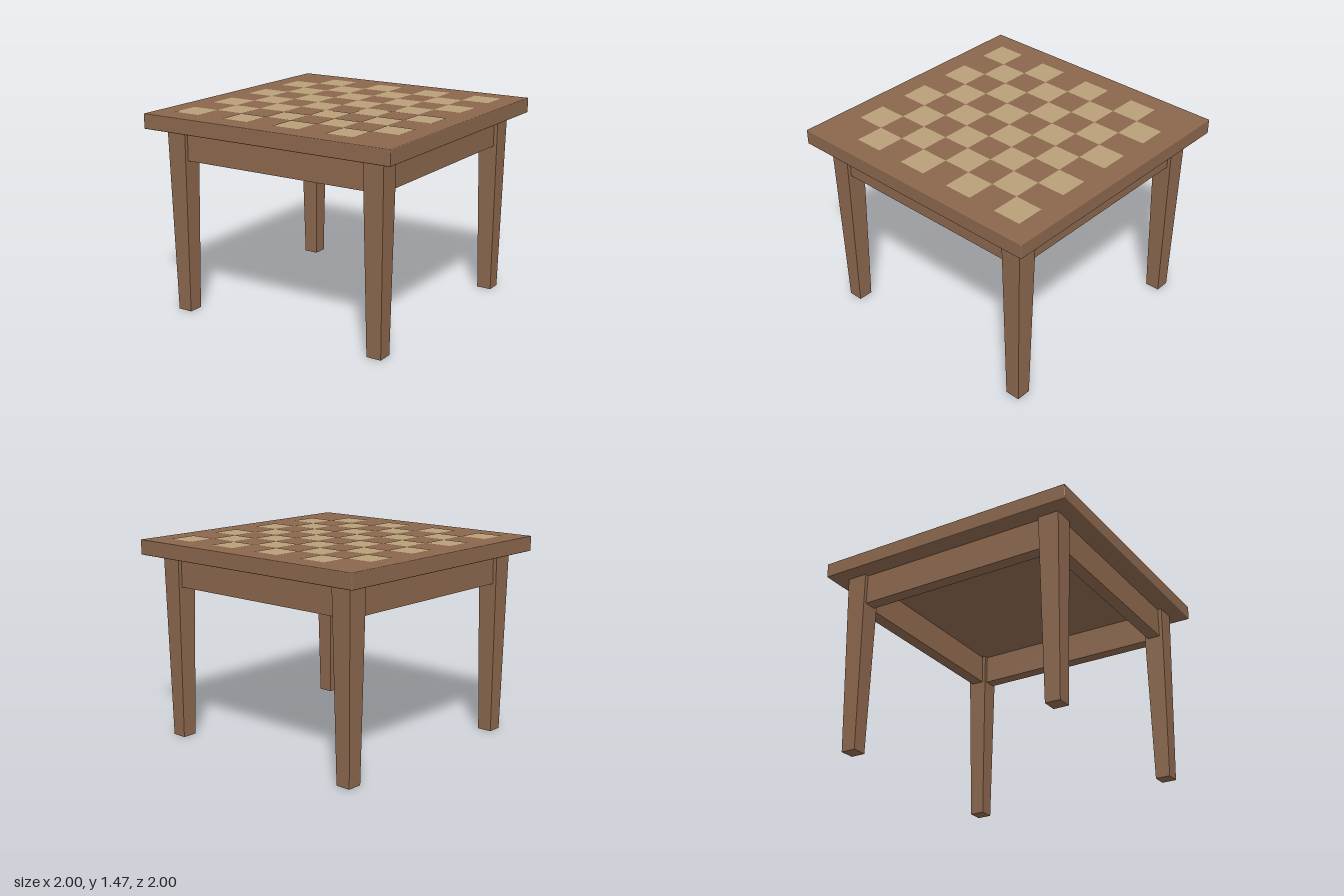
import * as THREE from 'three';
import { RoundedBoxGeometry } from 'three/addons/geometries/RoundedBoxGeometry.js';

const darkWood = new THREE.MeshStandardMaterial({ color: 0x8b674d });
darkWood.name = 'darkWood';
const lightWood = new THREE.MeshStandardMaterial({ color: 0xb99f79 });
lightWood.name = 'lightWood';

const TOP = 1.465, UNDER = 1.355, LEG_AT = 0.808;

function addMesh(parent, name, geometry, material, x, y, z) {
  const mesh = new THREE.Mesh(geometry, material);
  mesh.name = name;
  mesh.position.set(x, y, z);
  parent.add(mesh);
  return mesh;
}

// Square leg standing on y = 0, narrowing towards the floor
function taperedLeg(height, topWidth, bottomWidth) {
  const geometry = new THREE.BoxGeometry(topWidth, height, topWidth);
  geometry.translate(0, height / 2, 0);
  const p = geometry.attributes.position;
  for (let i = 0; i < p.count; i++) {
    if (p.getY(i) < 0.01) {
      const s = bottomWidth / topWidth;
      p.setX(i, p.getX(i) * s);
      p.setZ(i, p.getZ(i) * s);
    }
  }
  geometry.computeVertexNormals();
  return geometry;
}

export function createModel() {
  const table = new THREE.Group();
  table.name = 'chessTable';

  // Table top with slightly eased edges
  addMesh(table, 'tableTop', new RoundedBoxGeometry(2, TOP - UNDER, 2, 2, 0.006),
    darkWood, 0, (TOP + UNDER) / 2, 0);

  // Legs
  const legGeometry = taperedLeg(UNDER, 0.155, 0.11);
  for (const sx of [-1, 1]) {
    for (const sz of [-1, 1]) {
      addMesh(table, `${sz > 0 ? 'front' : 'back'}${sx > 0 ? 'Left' : 'Right'}Leg`,
        legGeometry, darkWood, sx * LEG_AT, 0, sz * LEG_AT);
    }
  }

  // Apron boards between the legs
  const apronHeight = 0.225;
  const apronGeometry = new THREE.BoxGeometry(1.5, apronHeight, 0.095);
  ['front', 'left', 'back', 'right'].forEach((side, i) => {
    const a = i * Math.PI / 2;
    const apron = addMesh(table, side + 'Apron', apronGeometry, darkWood,
      Math.sin(a) * LEG_AT, UNDER - apronHeight / 2, Math.cos(a) * LEG_AT);
    apron.rotation.y = a;
  });

  // Light squares inlaid in the top; the table top itself forms the dark ones
  const board = new THREE.Group();
  board.name = 'lightSquares';
  table.add(board);
  const cell = 0.2115;
  const squareGeometry = new THREE.PlaneGeometry(cell, cell).rotateX(-Math.PI / 2);
  for (let row = 0; row < 8; row++) {
    for (let col = 0; col < 8; col++) {
      if ((row + col) % 2 === 0) continue;
      addMesh(board, 'lightSquare', squareGeometry, lightWood,
        (col - 3.5) * cell, TOP + 0.002, (row - 3.5) * cell);
    }
  }
  return table;
}
